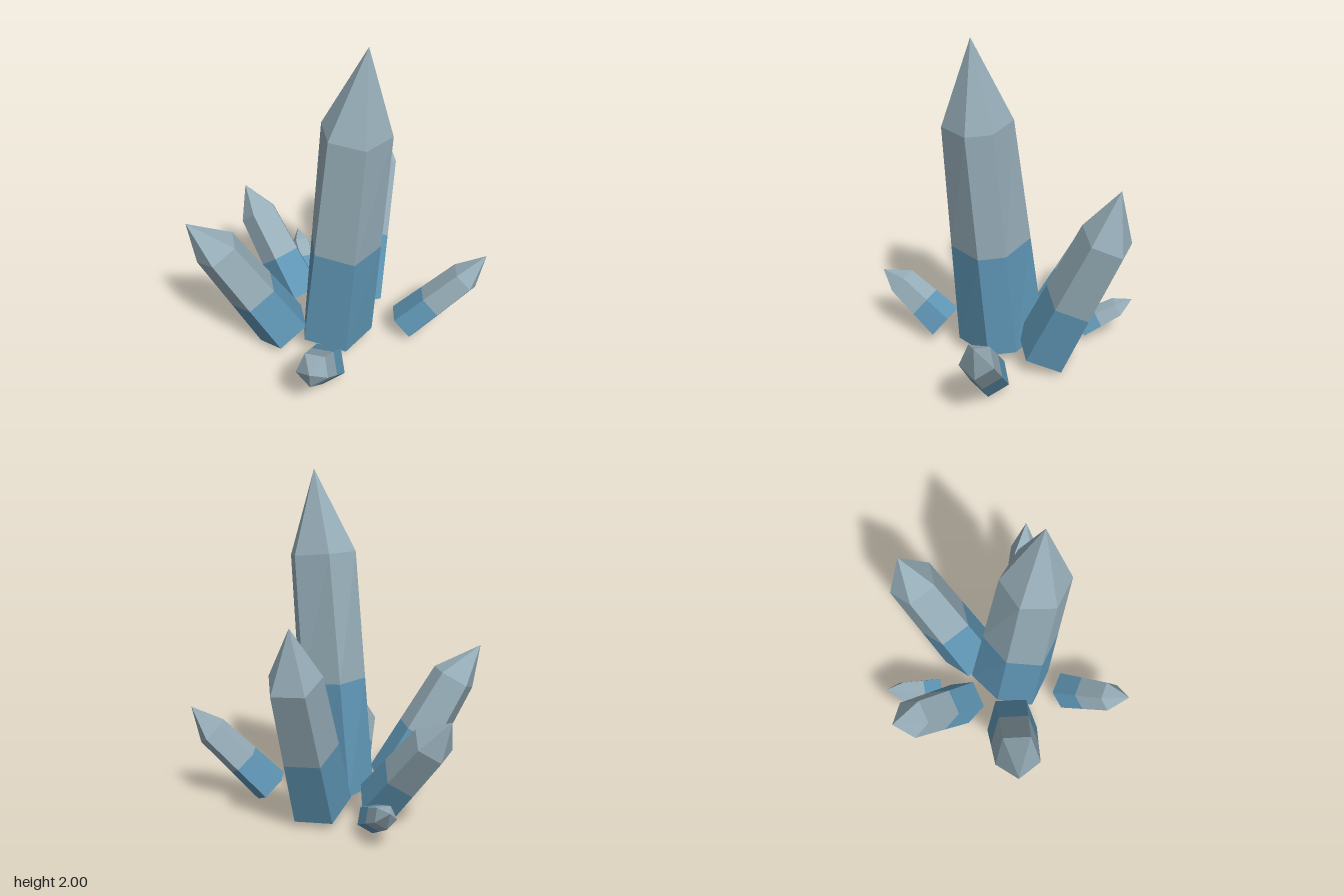
import * as THREE from 'three';

const BREAK = 0.47;  // where the blue root ends, between base and shoulder

// The crystals are hollow and open underneath, so both sides show
const blue = new THREE.MeshStandardMaterial({ color: 0x5f96b5, flatShading: true, side: THREE.DoubleSide });
blue.name = 'blue root';
const grey = new THREE.MeshStandardMaterial({ color: 0x97aeb9, flatShading: true, side: THREE.DoubleSide });
grey.name = 'pale grey';

// Faceted mesh from a list of triangle corners
function facets(name, points, material) {
  const geometry = new THREE.BufferGeometry().setFromPoints(points);
  geometry.computeVertexNormals();
  const mesh = new THREE.Mesh(geometry, material);
  mesh.name = name;
  return mesh;
}

// Side walls between two rings of corners
function walls(low, high) {
  return low.flatMap((corner, k) => {
    const n = (k + 1) % low.length;
    return [corner, low[n], high[n], corner, high[n], high[k]];
  });
}

// Fan from a ring to the tip
function fan(ring, apex) {
  return ring.flatMap((corner, k) => [corner, ring[(k + 1) % ring.length], apex]);
}

// Five evenly spaced corners, in degrees from the upper side of the crystal
const pentagon = (phase) => [0, 1, 2, 3, 4].map((k) => phase + k * 72);

// Tapered crystal: base ring, shoulder ring and a pointed tip
function crystal({ name, base, shoulder, tip, r0, r1, angles = pentagon(36), skew = angles.map(() => 1) }) {
  const foot = new THREE.Vector3(...base);
  const neck = new THREE.Vector3(...shoulder);
  const axis = neck.clone().sub(foot).normalize();
  const e1 = new THREE.Vector3(0, 1, 0).addScaledVector(axis, -axis.y).normalize();
  const e2 = axis.clone().cross(e1);

  const ring = (center, radius, scales) => angles.map((degrees, k) => {
    const a = THREE.MathUtils.degToRad(degrees);
    return center.clone()
      .addScaledVector(e1, radius * scales[k] * Math.cos(a))
      .addScaledVector(e2, radius * scales[k] * Math.sin(a));
  });
  const low = ring(foot, r0, skew);
  const top = ring(neck, r1, angles.map(() => 1));
  const mid = low.map((corner, k) => corner.clone().lerp(top[k], BREAK));

  const group = new THREE.Group();
  group.name = name;
  group.add(
    facets(name + 'Root', walls(low, mid), blue),
    facets(name + 'Point', [...walls(mid, top), ...fan(top, new THREE.Vector3(...tip))], grey),
  );
  return group;
}

export function createModel() {
  const model = new THREE.Group();
  model.name = 'crystalCluster';
  const crystals = [
    // Six-sided centre piece with a slightly uneven foot
    { name: 'mainCrystal', base: [0.09, 0.1, 0.045], shoulder: [0.231, 1.515, 0.055], tip: [0.285, 2, 0.035],
      r0: 0.24, r1: 0.2, angles: [24, 84, 147, 214, 258, 324], skew: [0.86, 1.07, 1.07, 0.95, 0.94, 1.12] },
    // Five-sided crystals leaning outwards around it
    { name: 'backCrystal', base: [0, 0.1, -0.265], shoulder: [-0.13, 0.93, -0.605], tip: [-0.16, 1.23, -0.665],
      r0: 0.19, r1: 0.158, angles: pentagon(6) },
    { name: 'rightCrystal', base: [-0.266, 0.1, -0.03], shoulder: [-0.652, 0.556, -0.07], tip: [-0.78, 0.71, -0.08],
      r0: 0.15, r1: 0.125, angles: pentagon(20) },
    { name: 'frontRightCrystal', base: [-0.13, 0.1, 0.285], shoulder: [-0.369, 0.745, 0.572], tip: [-0.48, 0.945, 0.692],
      r0: 0.175, r1: 0.14 },
    { name: 'backLeftCrystal', base: [0.412, 0.085, -0.24], shoulder: [0.687, 0.442, -0.462], tip: [0.775, 0.6, -0.545],
      r0: 0.118, r1: 0.1 },
    { name: 'frontLeftCrystal', base: [0.28, 0.105, 0.37], shoulder: [0.407, 0.335, 0.639], tip: [0.47, 0.405, 0.74],
      r0: 0.125, r1: 0.097 },
    { name: 'smallBackCrystal', base: [-0.345, 0.09, -0.22], shoulder: [-0.545, 0.2, -0.348], tip: [-0.62, 0.26, -0.405],
      r0: 0.085, r1: 0.067 },
  ];
  for (const c of crystals) model.add(crystal(c));
  return model;
}
